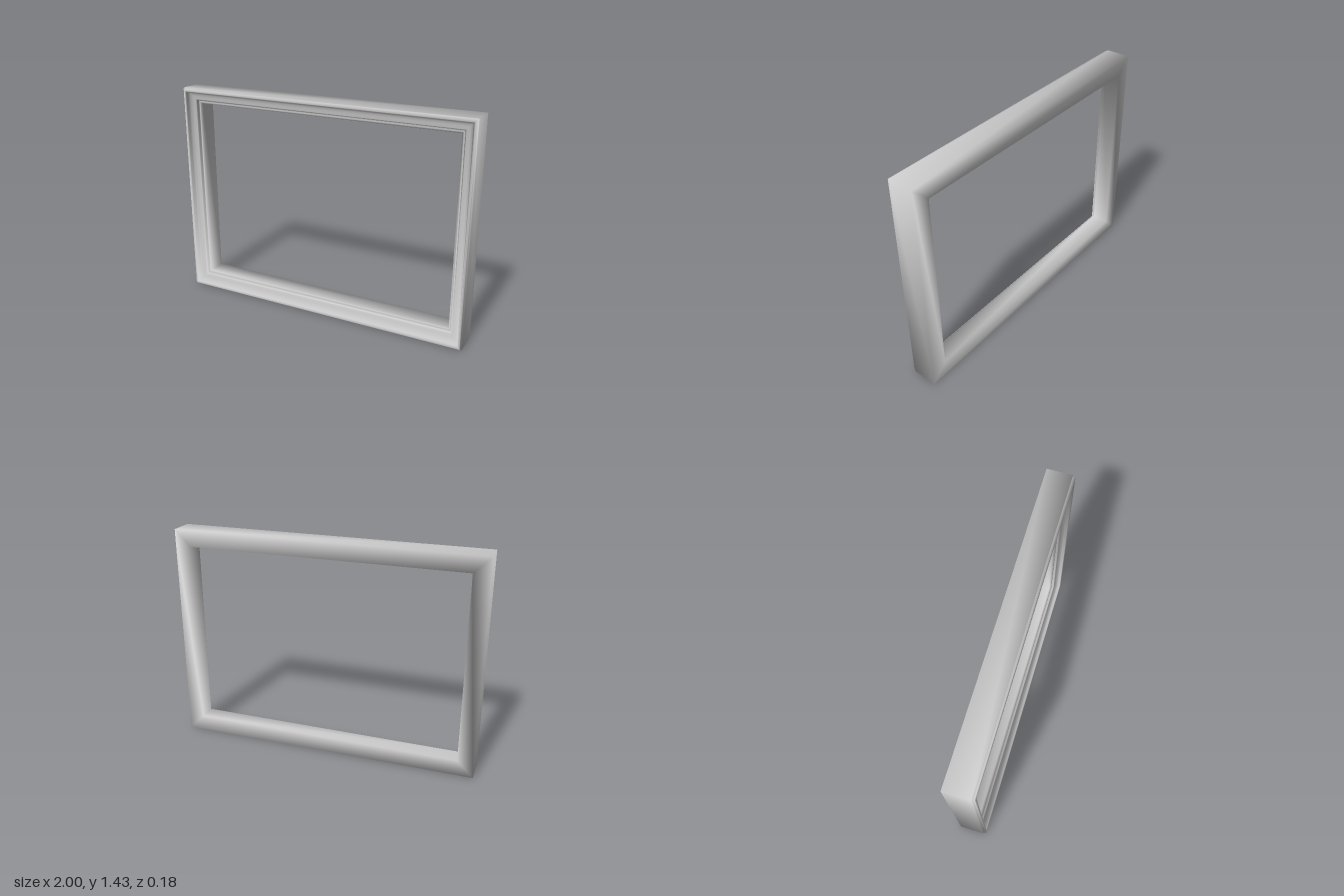
import * as THREE from 'three';

const WIDTH = 2;
const HEIGHT = 1.43;

// Moulding cross-section as [inset from outer edge, z], from the outer back
// corner over the front to the inner back corner.
const PROFILE = [
  [0, -0.09], [0, 0.072],                                // outer wall
  [0.006, 0.074], [0.006, 0.086], [0.01, 0.091],         // small step
  [0.02, 0.091], [0.026, 0.087], [0.028, 0.074],         // outer bead
  [0.04, 0.063], [0.056, 0.055], [0.074, 0.051],         // cove
  [0.081, 0.047], [0.083, 0.032],                        // inner step
  [0.092, 0.034], [0.1, 0.031], [0.106, 0.02],           // inner lip
  [0.106, -0.09],                                        // inner wall
];

// Sweeps a closed section around a rectangle with mitred corners;
// shared vertices keep the shading smooth.
function mitredFrame(width, height, profile) {
  const corners = [[1, 1], [-1, 1], [-1, -1], [1, -1]];
  const n = profile.length;
  const positions = [];
  const indices = [];
  corners.forEach(([sx, sy], c) => {
    for (const [inset, z] of profile) {
      positions.push(sx * (width / 2 - inset), sy * (height / 2 - inset), z);
    }
    const next = (c + 1) % corners.length;
    for (let i = 0; i < n; i++) {
      const k = (i + 1) % n;
      const a = c * n + i, b = next * n + i;
      const d = next * n + k, e = c * n + k;
      indices.push(a, b, d, a, d, e);
    }
  });
  const geometry = new THREE.BufferGeometry();
  geometry.setAttribute('position', new THREE.Float32BufferAttribute(positions, 3));
  geometry.setIndex(indices);
  geometry.computeVertexNormals();
  return geometry;
}

export function createModel() {
  const group = new THREE.Group();
  group.name = 'pictureFrame';

  // Moulded frame standing on its lower edge
  const frame = new THREE.Mesh(
    mitredFrame(WIDTH, HEIGHT, PROFILE),
    new THREE.MeshStandardMaterial({ color: 0xcccccc })
  );
  frame.name = 'frameMoulding';
  frame.position.y = HEIGHT / 2;
  group.add(frame);

  return group;
}
